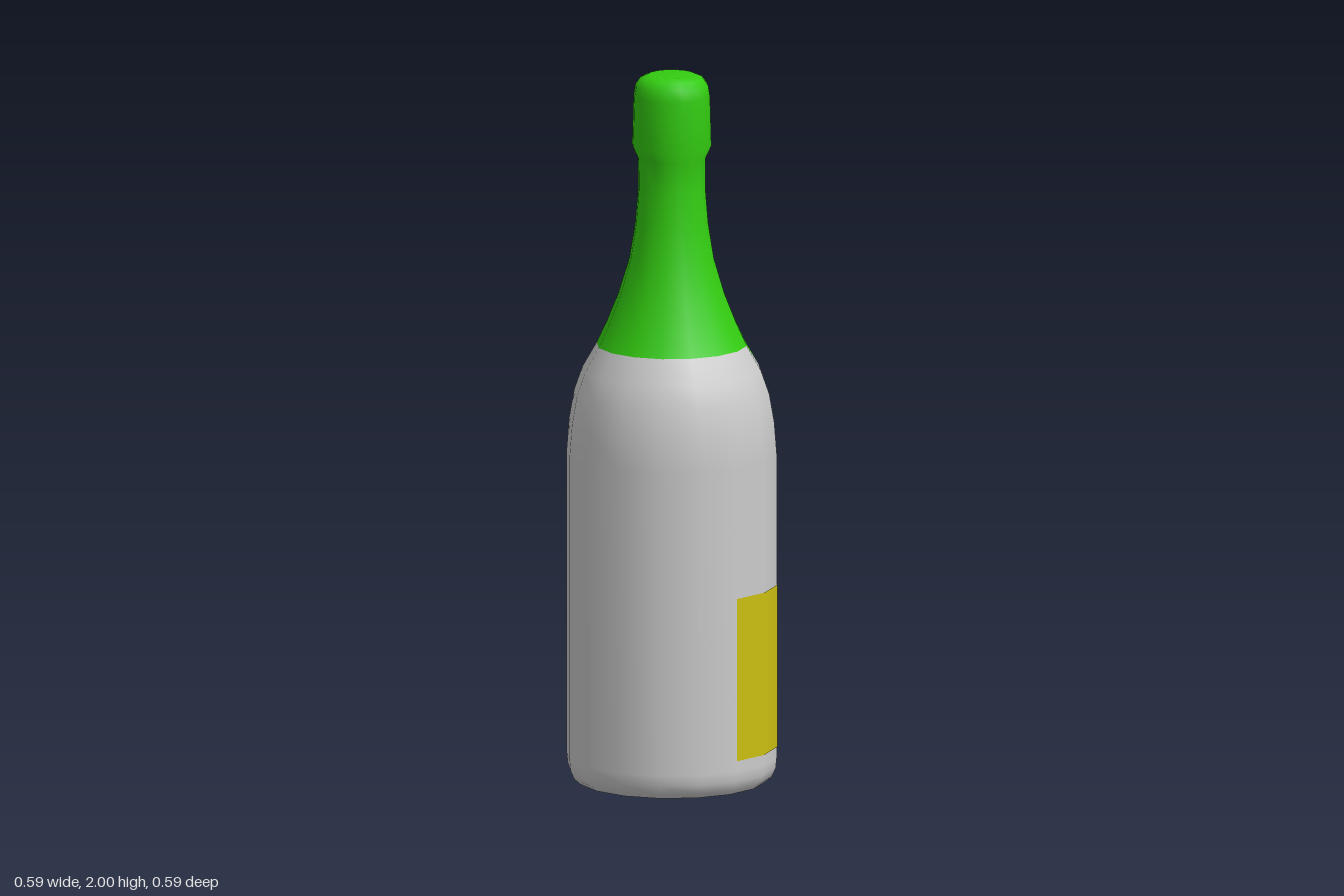
import * as THREE from 'three';

const SIDES = 16;
const BACK = [7, 8, 9]; // columns of the rear tongue of the foil

function lathe(name, color, profile) {
  const points = profile.map(([r, y]) => new THREE.Vector2(r, y));
  const material = new THREE.MeshStandardMaterial({ color });
  const mesh = new THREE.Mesh(new THREE.LatheGeometry(points, SIDES), material);
  mesh.name = name;
  return mesh;
}

// Collapse one ring of the lathe onto another in the columns that pass the test
function collapseRing(mesh, rings, from, to, test) {
  const { position, normal } = mesh.geometry.attributes;
  for (let i = 0; i <= SIDES; i++) {
    if (!test(i)) continue;
    const a = i * rings + from, b = i * rings + to;
    for (const attr of [position, normal]) {
      attr.setXYZ(a, attr.getX(b), attr.getY(b), attr.getZ(b));
    }
  }
}

export function createModel() {
  const group = new THREE.Group();
  group.name = 'bottle';

  // The two rings shared by the glass and the foil edge
  const low = [0.25, 1.165], high = [0.21, 1.235];

  // Glass body with rounded foot and shoulder
  const bodyProfile = [
    [0.262, 0], [0.28, 0.015], [0.291, 0.04], [0.294, 0.07],
    [0.294, 0.93], [0.287, 1.02], [0.273, 1.1], low, high,
  ];
  const body = lathe('body', 0xcccccc, bodyProfile);
  const n = bodyProfile.length;
  collapseRing(body, n, n - 1, n - 2, (i) => BACK.includes(i));

  // Flat underside
  const base = new THREE.Mesh(
    new THREE.CircleGeometry(0.262, SIDES),
    new THREE.MeshStandardMaterial({ color: 0xcccccc }),
  );
  base.name = 'base';
  base.rotation.x = Math.PI / 2;

  // Foil over neck and stopper, hanging lower at the back
  const foilProfile = [
    low, high, [0.18, 1.3], [0.148, 1.38], [0.118, 1.48], [0.102, 1.58],
    [0.094, 1.68], [0.095, 1.765], [0.111, 1.8], [0.107, 1.94],
    [0.102, 1.97], [0.088, 1.99], [0.065, 2], [0, 2],
  ];
  const foil = lathe('foil', 0x33cc11, foilProfile);
  collapseRing(foil, foilProfile.length, 0, 1, (i) => !BACK.includes(i));

  // Label wrapped round the back half
  const label = new THREE.Mesh(
    new THREE.CylinderGeometry(0.2955, 0.2955, 0.46, SIDES / 2, 1, true, Math.PI / 2, Math.PI),
    new THREE.MeshStandardMaterial({ color: 0xccc011, side: THREE.DoubleSide }),
  );
  label.name = 'label';
  label.position.y = 0.33;

  group.add(body, base, foil, label);
  return group;
}
